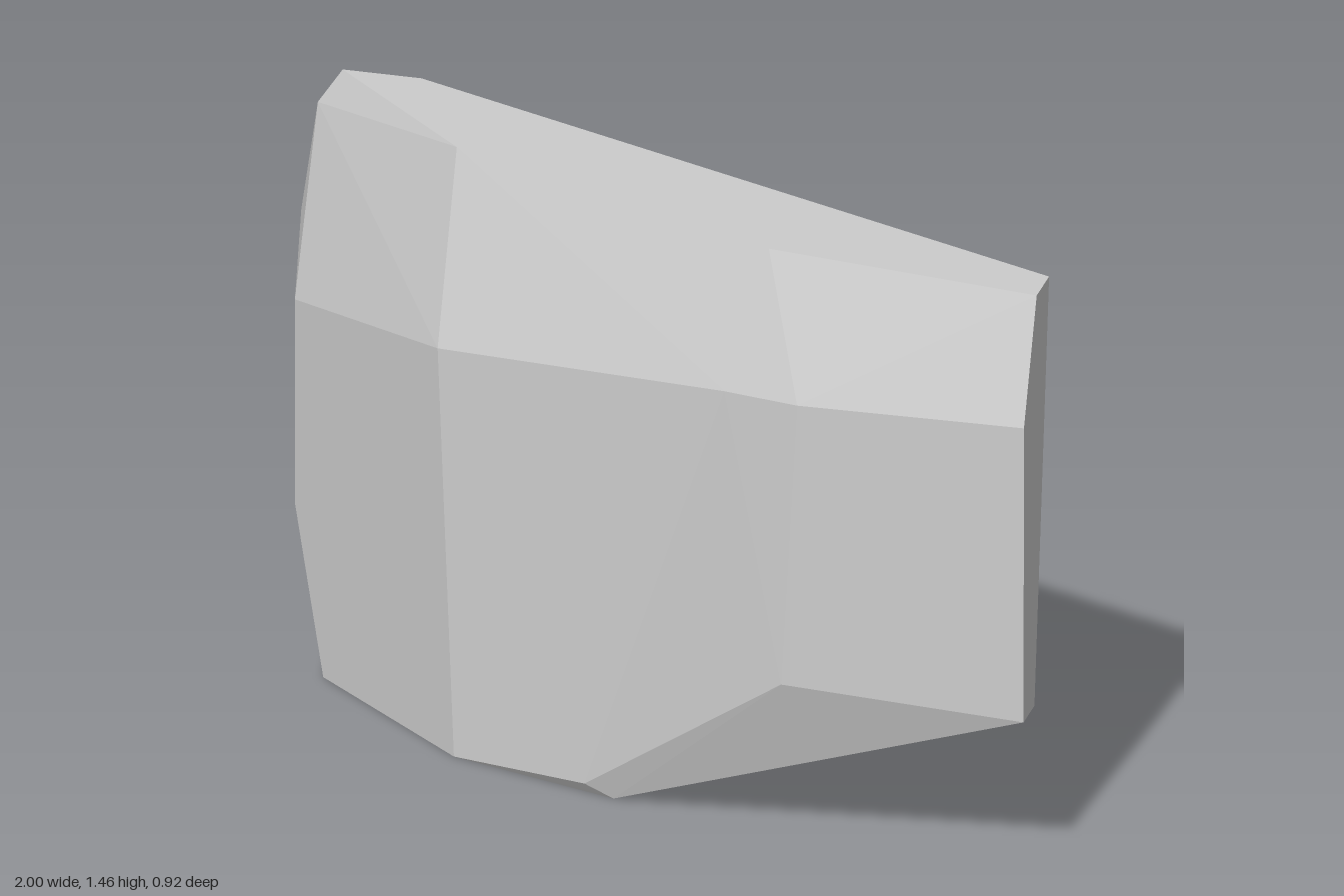
import * as THREE from 'three';
import { ConvexGeometry } from 'three/addons/geometries/ConvexGeometry.js';

export function createModel() {
  const group = new THREE.Group();
  group.name = 'rockShard';
  const stone = new THREE.MeshStandardMaterial({ color: 0xcccccc });
  stone.name = 'pale grey stone';

  // Corners of the faceted slab, ring by ring
  const corners = [
    // flat top
    [-0.89, 1.46, -0.46], [-0.7, 1.46, -0.46], [1, 1.46, 0.23],
    [1, 1.46, 0.34], [0.33, 1.46, 0.25], [-0.52, 1.46, -0.11],
    // upper bevel
    [-0.95, 1.37, -0.46], [-0.99, 1.09, -0.46], [-0.97, 0.92, -0.33],
    [-0.52, 1.02, 0.06], [0.25, 1.13, 0.35], [0.44, 1.14, 0.405], [1, 1.17, 0.453],
    // lower bevel
    [-1, 0.42, -0.46], [-0.94, 0.42, -0.46], [-0.97, 0.4, -0.33],
    [0.4, 0.42, 0.4], [1, 0.42, 0.457], [1, 0.42, 0.36], [-0.12, 0.03, 0.23],
    // flat base
    [-0.88, 0, -0.38], [-0.88, 0, -0.25], [-0.47, 0, 0.1],
    [-0.05, 0, 0.23], [-0.05, 0, 0.085],
  ].map((p) => new THREE.Vector3(...p));

  const slab = new THREE.Mesh(new ConvexGeometry(corners), stone);
  slab.name = 'facetedSlab';
  group.add(slab);
  return group;
}
